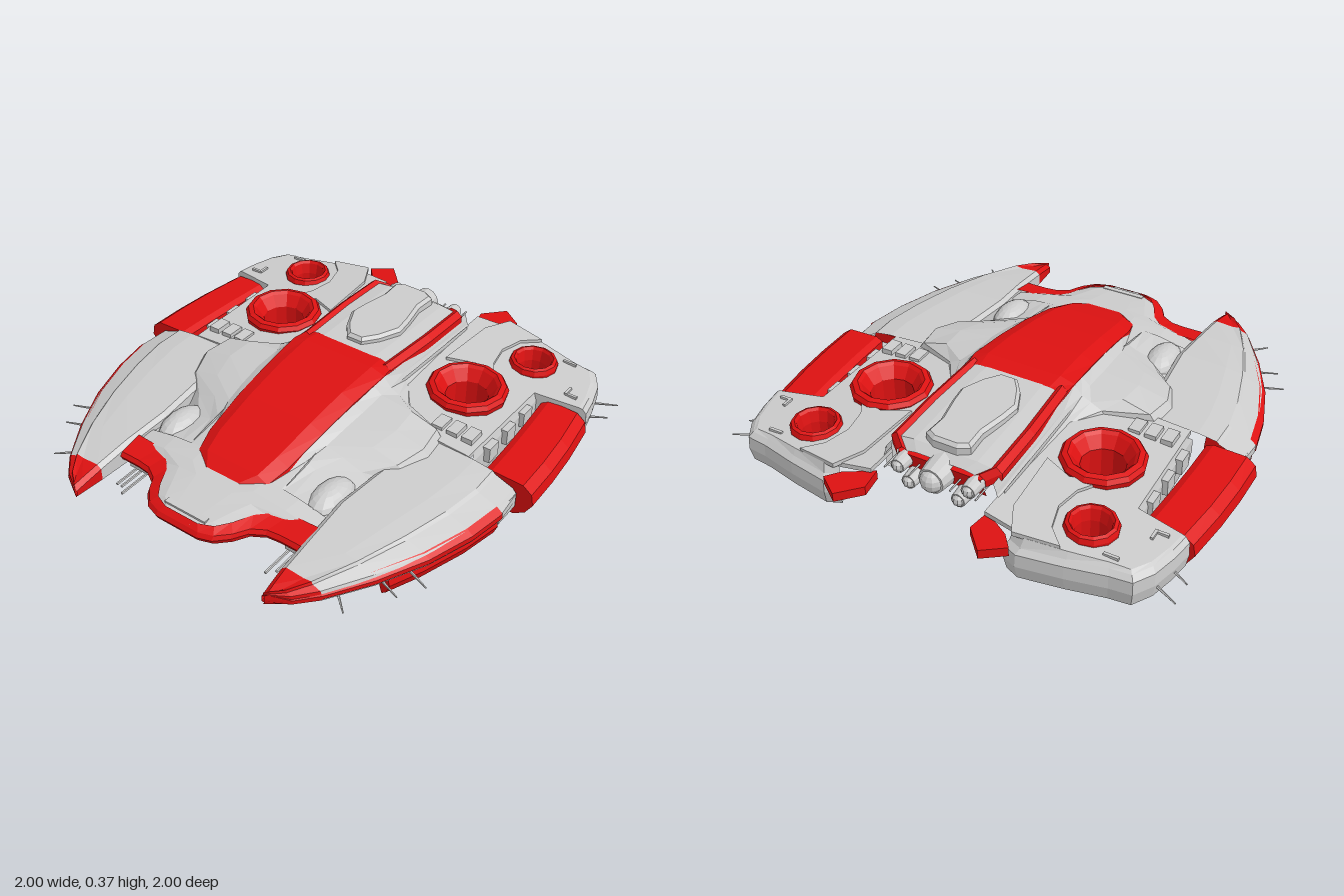
import * as THREE from 'three';

const mat = (color) => new THREE.MeshStandardMaterial({ color, flatShading: true, side: THREE.DoubleSide });
const grey = mat(0xcccccc);
const red = mat(0xdd1111);

// Skin a series of cross-sections (arrays of [x, y, z]) with quads; cap closes the two ends
function loft(sections, { closed = false, cap = false } = {}) {
  const n = sections[0].length;
  const index = [];
  for (let s = 0; s < sections.length - 1; s++) {
    for (let i = 0; i < (closed ? n : n - 1); i++) {
      const j = (i + 1) % n, a = s * n + i, b = s * n + j;
      index.push(a, b, a + n, b, b + n, a + n);
    }
  }
  if (cap) {
    const last = (sections.length - 1) * n;
    for (let i = 1; i < n - 1; i++) index.push(0, i + 1, i, last, last + i, last + i + 1);
  }
  const g = new THREE.BufferGeometry();
  g.setAttribute('position', new THREE.Float32BufferAttribute(sections.flat(2), 3));
  g.setIndex(index);
  g.computeVertexNormals();
  return g;
}

// Flat plate from an (x, z) outline, its top at y = 0, with round holes [x, z, r]
function plate(points, depth, holes = [], bevel = 0) {
  const shape = new THREE.Shape(points.map(([x, z]) => new THREE.Vector2(x, z)));
  for (const [x, z, r] of holes) shape.holes.push(new THREE.Path().absarc(x, z, r, 0, Math.PI * 2, true));
  return new THREE.ExtrudeGeometry(shape, {
    depth, curveSegments: 6, bevelEnabled: bevel > 0, bevelSize: bevel, bevelThickness: bevel, bevelSegments: 1,
  }).rotateX(Math.PI / 2);
}

// Height of the sloping rear deck
const deckY = (x) => 0.245 - 0.07 * (x - 0.25);
function lay(g, lift = 0) {
  const p = g.attributes.position;
  for (let i = 0; i < p.count; i++) p.setY(i, p.getY(i) + deckY(p.getX(i)) + lift);
  g.computeVertexNormals();
  return g;
}

const mirrorX = (pts) => [...pts.map(([x, ...r]) => [-x, ...r]).reverse(), ...pts];
const atZ = (z, pts) => pts.map(([x, y]) => [x, y, z]);

export function createModel() {
  const model = new THREE.Group();
  const add = (parent, name, geometry, material) => {
    const m = new THREE.Mesh(geometry, material);
    m.name = name;
    parent.add(m);
    return m;
  };
  const rod = (parent, name, a, b, r, material = grey, r2 = r) => {
    const from = new THREE.Vector3(...a), to = new THREE.Vector3(...b);
    const m = add(parent, name, new THREE.CylinderGeometry(r2, r, from.distanceTo(to), r > 0.02 ? 12 : 5), material);
    m.position.copy(from).lerp(to, 0.5);
    m.quaternion.setFromUnitVectors(new THREE.Vector3(0, 1, 0), to.sub(from).normalize());
  };

  // Long red canopy: z, half width, crown height, edge height
  add(model, 'canopy', loft([
    [-0.18, 0.225, 0.35, 0.335], [-0.1, 0.235, 0.358, 0.338], [0.1, 0.225, 0.343, 0.318], [0.3, 0.215, 0.31, 0.285],
    [0.5, 0.2, 0.265, 0.238], [0.6, 0.175, 0.235, 0.21], [0.66, 0.11, 0.212, 0.195],
  ].map(([z, w, c, e]) => atZ(z, mirrorX([[w * 0.72, c], [w, e], [w * 1.02, e - 0.03]])))), red);

  // Rear spine: grey roof, red rails and stern frame
  const spine = [[-0.74, 0.15, 0.3], [-0.7, 0.2, 0.325], [-0.45, 0.2, 0.335], [-0.15, 0.185, 0.343]];
  add(model, 'spineRoof', loft(spine.map(([z, w, y]) => atZ(z, mirrorX([[w * 0.7, y + 0.008], [w, y]])))), grey);
  add(model, 'spineRails', loft(spine.map(([z, w, y]) => atZ(z, [[w, y], [w + 0.02, y + 0.012], [w + 0.045, y - 0.01], [w + 0.045, y - 0.04]]))), red);
  model.add(model.children.at(-1).clone());
  model.children.at(-1).scale.x = -1;
  add(model, 'sternFrame', loft([[-0.725, 0.3, 0.2], [-0.75, 0.295, 0.18], [-0.74, 0.22, 0.2]].map(([z, y, w]) =>
    atZ(z, [[-w, y], [w, y]]))), red);
  add(model, 'spineHump', plate(mirrorX([[0.03, -0.23], [0.075, -0.29], [0.115, -0.38], [0.105, -0.46], [0.08, -0.58],
    [0.085, -0.67], [0.05, -0.69]]), 0.035, [], 0.014), grey).position.y = 0.364;

  // Nose deck: z, half width, centre height, edge height
  add(model, 'noseDeck', loft([[0.58, 0.45, 0.215, 0.17], [0.66, 0.44, 0.21, 0.17], [0.71, 0.26, 0.205, 0.178], [0.79, 0.21, 0.195, 0.176],
    [0.86, 0.17, 0.185, 0.17], [0.915, 0.08, 0.172, 0.165],
  ].map(([z, w, c, e]) => atZ(z, mirrorX([[w * 0.35, c], [w * 0.7, (c + e) / 2 + 0.006], [w, e]])))), grey);
  add(model, 'noseSlot', new THREE.BoxGeometry(0.2, 0.014, 0.025), grey).position.set(0, 0.181, 0.87);

  // Red bumper round the nose: outer x, z and inner x, z
  const bumper = mirrorX([[0.1, 0.935, 0.08, 0.9], [0.16, 0.915, 0.14, 0.875], [0.21, 0.865, 0.18, 0.82], [0.245, 0.805, 0.22, 0.74],
    [0.3, 0.772, 0.275, 0.685], [0.36, 0.765, 0.33, 0.655], [0.455, 0.765, 0.455, 0.65]]);
  add(model, 'noseBumper', loft(bumper.map(([x, z, , zi], i) => {
    const xi = Math.sign(x) * bumper[i < 7 ? 13 - i : i][2];
    return [[xi, 0.185, zi], [x, 0.168, z - 0.012], [x, 0.15, z], [x, 0.13, z - 0.01], [xi, 0.125, zi + 0.01]];
  })), red);

  // Everything below exists on both sides
  const side = new THREE.Group();
  side.name = 'leftSide';

  // Bulging shoulder beside the canopy
  add(side, 'shoulder', loft([
    atZ(-0.75, [[0.235, 0.3], [0.245, 0.27], [0.25, 0.25], [0.26, 0.24], [0.27, 0.2]]),
    atZ(-0.22, [[0.235, 0.325], [0.25, 0.29], [0.265, 0.26], [0.28, 0.24], [0.3, 0.2]]),
    atZ(-0.1, [[0.235, 0.335], [0.27, 0.295], [0.31, 0.275], [0.36, 0.25], [0.4, 0.18]]),
    atZ(-0.03, [[0.23, 0.33], [0.27, 0.3], [0.42, 0.283], [0.54, 0.25], [0.6, 0.17]]),
    atZ(0.1, [[0.222, 0.315], [0.27, 0.292], [0.43, 0.275], [0.56, 0.245], [0.62, 0.16]]),
    atZ(0.22, [[0.218, 0.297], [0.26, 0.275], [0.4, 0.255], [0.52, 0.225], [0.58, 0.15]]),
    atZ(0.32, [[0.21, 0.28], [0.25, 0.255], [0.33, 0.235], [0.42, 0.205], [0.49, 0.14]]),
    atZ(0.42, [[0.205, 0.255], [0.225, 0.23], [0.27, 0.21], [0.34, 0.19], [0.46, 0.14]]),
    atZ(0.6, [[0.175, 0.21], [0.23, 0.202], [0.28, 0.195], [0.34, 0.185], [0.45, 0.165]]),
  ]), grey);
  const pod = add(side, 'jointPod', new THREE.SphereGeometry(1, 12, 6, 0, Math.PI * 2, 0, Math.PI / 2), grey);
  pod.scale.set(0.075, 0.07, 0.13);
  pod.position.set(0.38, 0.15, 0.47);
  add(side, 'keelPlate', loft([[-0.72, 0.17, 0.29], [-0.2, 0.15, 0.31], [0.2, 0.16, 0.28], [0.56, 0.17, 0.21]]
    .map(([z, lo, hi]) => [[0.235, hi, z], [0.235, lo, z], [0.265, lo, z], [0.265, hi - 0.03, z]])), grey);

  // Forward mandible: z, inner x, outer x, inner y, outer y
  const mandible = [[0, 0.5, 0.93, 0.215, 0.155], [0.13, 0.48, 0.94, 0.215, 0.152], [0.3, 0.46, 0.91, 0.21, 0.15], [0.5, 0.44, 0.845, 0.205, 0.148],
    [0.7, 0.45, 0.745, 0.19, 0.145], [0.87, 0.455, 0.635, 0.168, 0.142], [0.95, 0.46, 0.56, 0.152, 0.138], [1, 0.464, 0.475, 0.14, 0.135]];
  const top = ([z, a, b, p, q]) => {
    const w = b - a;
    return atZ(z, [[a, 0.1], [a, p - 0.015], [a + 0.02, p], [a + w * 0.55, p - 0.006], [a + w * 0.74, (p + q) / 2 + 0.012],
      [a + w * 0.77, (p + q) / 2], [b - w * 0.04, q], [b, q - 0.02], [b, 0.1]]);
  };
  add(side, 'mandible', loft(mandible.slice(0, 6).map(top)), grey);
  add(side, 'mandibleTip', loft(mandible.slice(5).map(top), { closed: true }), red);
  add(side, 'mandibleRim', loft(mandible.slice(1).map(([z, a, b, , q]) => {
    const d = Math.min(0.06, (b - a) * 0.6);
    return atZ(z, [[b - d * 0.4, q + 0.005], [b + 0.004, q - 0.018], [b + 0.004, 0.108], [b - d * 0.3, 0.09], [b - d, 0.092]]);
  })), red);
  add(side, 'mandibleFlank', loft([0, 0.13].map((z) => atZ(z, [[0.93, 0.14], [0.93, 0.07], [0.9, 0.05], [0.85, 0.05]]))), grey);
  add(side, 'lowerArmour', loft([[0.13, 0.93], [0.3, 0.895], [0.5, 0.83], [0.64, 0.77]].map(([z, x]) =>
    atZ(z, [[x - 0.01, 0.1], [x, 0.06], [x - 0.015, 0.02], [x - 0.03, 0.008], [0.735, 0.008], [0.725, 0.045], [0.73, 0.1]])),
  { closed: true, cap: true }), red);

  // Rear wing deck with duct openings
  const rim = [[0.36, -0.9], [0.42, -0.925], [0.6, -0.895], [0.76, -0.86], [0.85, -0.85], [0.9, -0.77], [0.93, -0.66], [0.945, -0.565], [0.73, -0.525], [0.72, 0]];
  const inset = ([x, z], k) => [x + (0.6 - x) * k, z + (-0.5 - z) * k];
  const ducts = [[0.49, -0.35, 0.175, 0.092], [0.615, -0.7, 0.107, 0.066]];
  add(side, 'rearDeck', lay(plate([[0.25, 0], [0.25, -0.84], ...rim.slice(0, -1).map((p) => inset(p, 0.1)), [0.708, 0]], 0.02,
    ducts.map(([x, z, r]) => [x, z, r * 0.85]))), grey);
  add(side, 'rearSkirt', loft(rim.map((p) => [[0.1, null], [0.06, 0.195], [0.01, 0.175], [0, 0.12], [0.03, 0.06], [0.1, 0.05]].map(([k, y]) => {
    const [x, z] = inset(p, k);
    return [x, y ?? deckY(x), z];
  }))), grey);

  // Red lift ducts, open through the deck
  for (const [x, z, r, hole] of ducts) {
    const h = r > 0.15 ? 0.268 : 0.25;
    const profile = [[hole, 0.05], [hole, h - 0.06], [r * 0.72, h - 0.012], [r * 0.8, h], [r * 0.93, h - 0.006], [r, h - 0.025], [r * 0.96, h - 0.06]];
    add(side, 'liftDuct', new THREE.LatheGeometry(profile.map((p) => new THREE.Vector2(...p)), 12), red).position.set(x, 0, z);
  }

  // Raised crescent panel and small deck fittings
  add(side, 'crescentPanel', lay(plate([[0.31, -0.47], [0.33, -0.77], [0.39, -0.89], [0.57, -0.86], [0.5, -0.79], [0.47, -0.68], [0.49, -0.57],
    [0.55, -0.475], [0.43, -0.52]], 0.02), 0.014), grey);
  for (let i = 0; i < 3; i++) {
    add(side, 'deckVent', new THREE.BoxGeometry(0.05, 0.03, 0.08), grey).position.set(0.52 + i * 0.07, 0.225, -0.1);
    add(side, 'sideClamp', new THREE.BoxGeometry(0.035, 0.07, 0.07), grey).position.set(0.73, 0.16, -0.42 + i * 0.14);
  }
  for (const [x, z, w, d] of [[0.85, -0.6, 0.05, 0.012], [0.825, -0.62, 0.012, 0.05], [0.74, -0.8, 0.06, 0.012]])
    add(side, 'deckTrim', new THREE.BoxGeometry(w, 0.02, d), grey).position.set(x, deckY(x), z);

  // Red side armour
  add(side, 'sideArmour', loft([[-0.545, 0.75, 0.96], [-0.35, 0.765, 0.985], [-0.18, 0.775, 0.997], [-0.01, 0.78, 1]].map(([z, a, b]) =>
    atZ(z, [[a, 0.17], [a + 0.03, 0.185], [b - 0.05, 0.18], [b - 0.01, 0.15], [b, 0.1], [b - 0.03, 0.05], [b - 0.08, 0.02], [a + 0.03, 0.02], [a, 0.06]])),
  { closed: true, cap: true }), red);

  // Red tail fin
  add(side, 'tailFin', plate([[0.245, -0.81], [0.23, -0.91], [0.315, -1], [0.405, -0.935], [0.36, -0.88]], 0.04), red).position.y = 0.215;

  // Spikes along the edges and front guns
  for (const [x, z, x2, z2] of [[0.8, 0.56, 0.9, 0.6], [0.74, 0.66, 0.84, 0.7], [0.66, 0.81, 0.73, 0.875], [0.9, -0.75, 0.99, -0.795], [0.92, -0.65, 0.99, -0.69]])
    rod(side, 'spike', [x, 0.1, z], [x2, 0.1, z2], 0.006, grey, 0.003);
  for (const [x, z] of [[0.365, 0.86], [0.395, 0.83], [0.42, 0.83]]) rod(side, 'gun', [x, 0.068, 0.66], [x, 0.065, z], 0.006);
  add(side, 'gunMount', new THREE.BoxGeometry(0.1, 0.06, 0.08), grey).position.set(0.4, 0.1, 0.68);

  // Outboard engines
  for (const [x, y] of [[0.155, 0.265], [0.11, 0.205]]) {
    rod(side, 'smallEngine', [x, y, -0.7], [x, y, -0.8], 0.038, grey, 0.03);
    add(side, 'smallEngineBall', new THREE.SphereGeometry(0.028, 10, 6), grey).position.set(x, y, -0.79);
  }
  for (const x of [0.09, 0.2]) rod(side, 'engineAerial', [x, 0.26, -0.7], [x, 0.26, -0.82], 0.004);

  const other = side.clone();
  other.name = 'rightSide';
  other.scale.x = -1;
  model.add(side, other);

  // Central engine
  rod(model, 'mainEngine', [0, 0.26, -0.7], [0, 0.26, -0.81], 0.07, grey, 0.055);
  add(model, 'mainEngineBall', new THREE.SphereGeometry(0.05, 12, 8), grey).position.set(0, 0.26, -0.795);
  return model;
}
